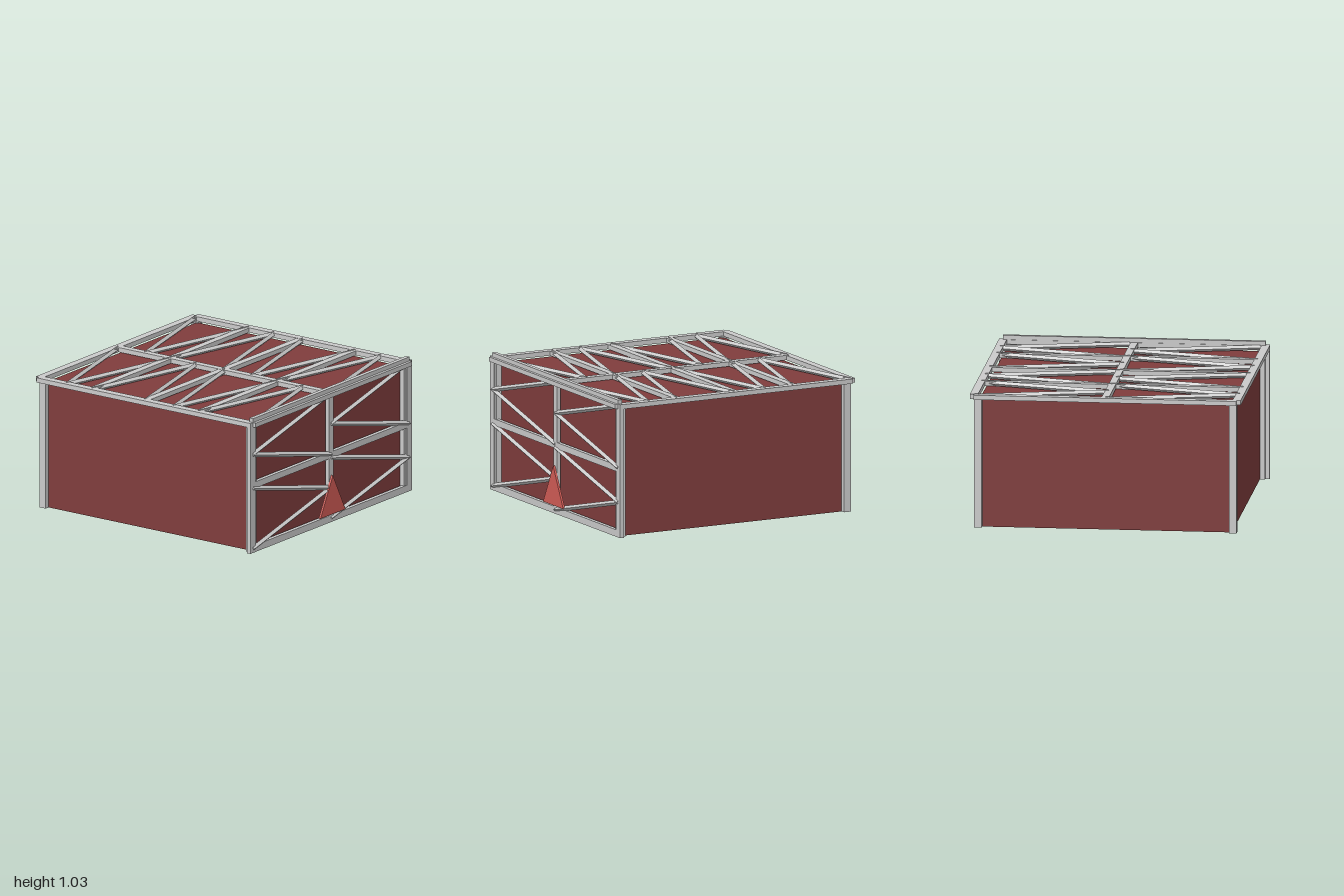
import * as THREE from 'three';

const grey = new THREE.MeshStandardMaterial({ color: 0xcccccc, flatShading: true });
const darkRed = new THREE.MeshStandardMaterial({ color: 0x803d3d, flatShading: true });
const red = new THREE.MeshStandardMaterial({ color: 0xd25c56, flatShading: true });

// Box given by its extents on each axis
function block(parent, name, [x0, x1], [y0, y1], [z0, z1], material = grey) {
  const mesh = new THREE.Mesh(new THREE.BoxGeometry(x1 - x0, y1 - y0, z1 - z0), material);
  mesh.position.set((x0 + x1) / 2, (y0 + y1) / 2, (z0 + z1) / 2);
  mesh.name = name;
  parent.add(mesh);
}

// Thin square rod between two points, turned on edge
function brace(parent, name, a, b) {
  const side = 0.027;
  const geometry = new THREE.BoxGeometry(side, side, a.distanceTo(b));
  geometry.rotateZ(Math.PI / 4);
  const mesh = new THREE.Mesh(geometry, grey);
  mesh.position.copy(a).add(b).multiplyScalar(0.5);
  mesh.lookAt(b);
  mesh.name = name;
  parent.add(mesh);
}

// Rows of V braces in both halves, alternating direction; place(x, v) maps to 3D
function braceRows(parent, name, starts, step, place) {
  starts.forEach((v, row) => {
    for (const left of [-0.965, 0]) {
      const right = left + 0.965;
      const [open, tip] = row % 2 ? [left, right] : [right, left];
      brace(parent, name, place(open, v), place(tip, v + step));
      brace(parent, name, place(tip, v + step), place(open, v + 2 * step));
    }
  });
}

export function createModel() {
  const model = new THREE.Group();
  model.name = 'crate';

  // Solid body
  block(model, 'body', [-0.93, 0.93], [0, 0.96], [-0.93, 0.93], darkRed);

  // Corner posts
  for (const sx of [-1, 1]) for (const sz of [-1, 1]) {
    const span = s => (s > 0 ? [0.912, 0.968] : [-0.968, -0.912]);
    block(model, 'cornerPost', span(sx), [0, 0.968], span(sz));
  }

  // Roof frame
  const roof = new THREE.Group();
  roof.name = 'roofFrame';
  model.add(roof);
  const roofY = [0.965, 1.0];
  for (const s of [-1, 1]) {
    block(roof, 'sideRail', [s * 0.97 - 0.03, s * 0.97 + 0.03], roofY, [-0.97, 0.97]);
    block(roof, 'endRail', [-0.97, 0.97], [0.965, 0.999], [s * 0.97 - 0.03, s * 0.97 + 0.03]);
  }
  block(roof, 'roofSpine', [-0.027, 0.027], roofY, [-0.97, 0.97]);
  for (const z of [-0.49, -0.003, 0.483])
    block(roof, 'crossRail', [-0.97, 0.97], [0.965, 0.999], [z - 0.027, z + 0.027]);
  braceRows(roof, 'roofBrace', [-0.965, -0.495, 0.005, 0.475], 0.24,
    (x, z) => new THREE.Vector3(x, 0.985, z));

  // Front frame
  const front = new THREE.Group();
  front.name = 'frontFrame';
  model.add(front);
  const frontZ = [0.944, 0.976];
  for (const s of [-1, 1])
    block(front, 'frontPost', [s * 0.97 - 0.03, s * 0.97 + 0.03], [0, 1], frontZ);
  block(front, 'centrePost', [-0.027, 0.027], [0, 1], frontZ);
  block(front, 'bottomRail', [-0.97, 0.97], [0, 0.052], [0.944, 0.975]);
  block(front, 'middleRail', [-0.97, 0.97], [0.49, 0.538], [0.944, 0.975]);
  block(front, 'topBar', [-0.97, 0.97], [0.97, 1.03], [0.944, 0.977]);
  braceRows(front, 'frontBrace', [0.985, 0.495], -0.232,
    (x, y) => new THREE.Vector3(x, y, 0.969));

  // Triangular sign plate
  const triangle = new THREE.Shape([
    new THREE.Vector2(-0.155, 0.065),
    new THREE.Vector2(0.155, 0.065),
    new THREE.Vector2(0, 0.36),
  ]);
  const sign = new THREE.Mesh(
    new THREE.ExtrudeGeometry(triangle, { depth: 0.016, bevelEnabled: false }), red);
  sign.position.z = 0.976;
  sign.name = 'trianglePlate';
  model.add(sign);

  return model;
}
